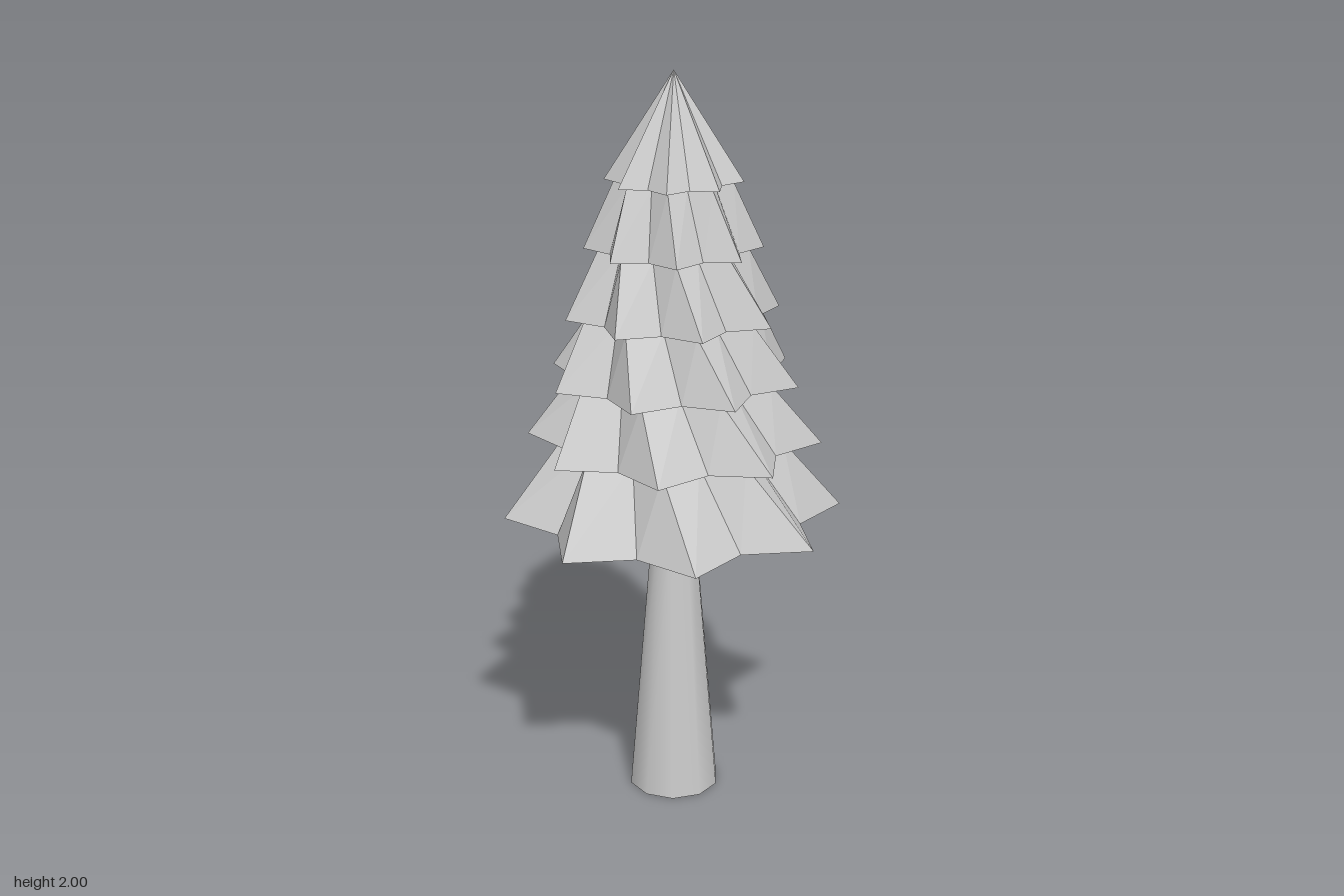
import * as THREE from 'three';

const POINTS = 8;          // tips of each star-shaped tier
const VALLEY = 0.765;      // valley radius relative to tip radius

// Star ring of alternating tips and valleys; turn is in degrees from +x towards +z
function starRing(radius, y, turn) {
  const ring = [];
  for (let i = 0; i <= POINTS * 2; i++) {
    const a = THREE.MathUtils.degToRad(turn) + (i * Math.PI) / POINTS;
    const r = radius * (i % 2 ? VALLEY : 1);
    ring.push([r * Math.cos(a), y, r * Math.sin(a)]);
  }
  return ring;
}

// Flat-shaded skin joining successive rings, from top to bottom
function skin(rings) {
  const pos = [];
  const same = (p, q) => p.every((v, k) => Math.abs(v - q[k]) < 1e-9);
  const tri = (a, b, c) => {
    if (!same(a, b) && !same(b, c) && !same(a, c)) pos.push(...a, ...b, ...c);
  };
  for (let k = 0; k < rings.length - 1; k++) {
    const a = rings[k], b = rings[k + 1];
    for (let i = 0; i < POINTS * 2; i++) {
      tri(a[i], a[i + 1], b[i + 1]);
      tri(a[i], b[i + 1], b[i]);
    }
  }
  const g = new THREE.BufferGeometry();
  g.setAttribute('position', new THREE.Float32BufferAttribute(pos, 3));
  g.computeVertexNormals();
  return g;
}

export function createModel() {
  const tree = new THREE.Group();
  tree.name = 'pineTree';

  // Tiers from the top: tip radius, bottom height, turn, inset of the ledge below
  const tiers = [
    { r: 0.18, y: 1.72, turn: 22.5, inset: 0.85 },
    { r: 0.233, y: 1.545, turn: 15, inset: 0.83 },
    { r: 0.288, y: 1.37, turn: 2.5, inset: 0.82 },
    { r: 0.34, y: 1.2, turn: -10, inset: 0.78 },
    { r: 0.394, y: 1.025, turn: -22.5, inset: 0.74 },
    { r: 0.457, y: 0.815, turn: -35, inset: 0 },
  ];

  // Foliage: each tier twists out to its tips, then steps in to start the next
  const rings = [starRing(0, 2, 0)];
  for (const { r, y, turn, inset } of tiers) {
    rings.push(starRing(r, y, turn), starRing(r * inset, y, turn));
  }
  const foliage = new THREE.Mesh(
    skin(rings),
    new THREE.MeshStandardMaterial({ color: 0xcccccc, flatShading: true, side: THREE.DoubleSide })
  );
  foliage.name = 'foliage';
  tree.add(foliage);

  // Tapered ten-sided trunk, open at the foot
  const trunkGeo = new THREE.CylinderGeometry(0.057, 0.126, 0.82, 10, 1, true);
  trunkGeo.rotateY(Math.PI / 2);
  trunkGeo.translate(0, 0.41, 0);
  // Turn so two corners lie on the x axis
  const trunk = new THREE.Mesh(
    trunkGeo,
    new THREE.MeshStandardMaterial({ color: 0xcccccc, side: THREE.DoubleSide })
  );
  trunk.name = 'trunk';
  tree.add(trunk);

  return tree;
}
